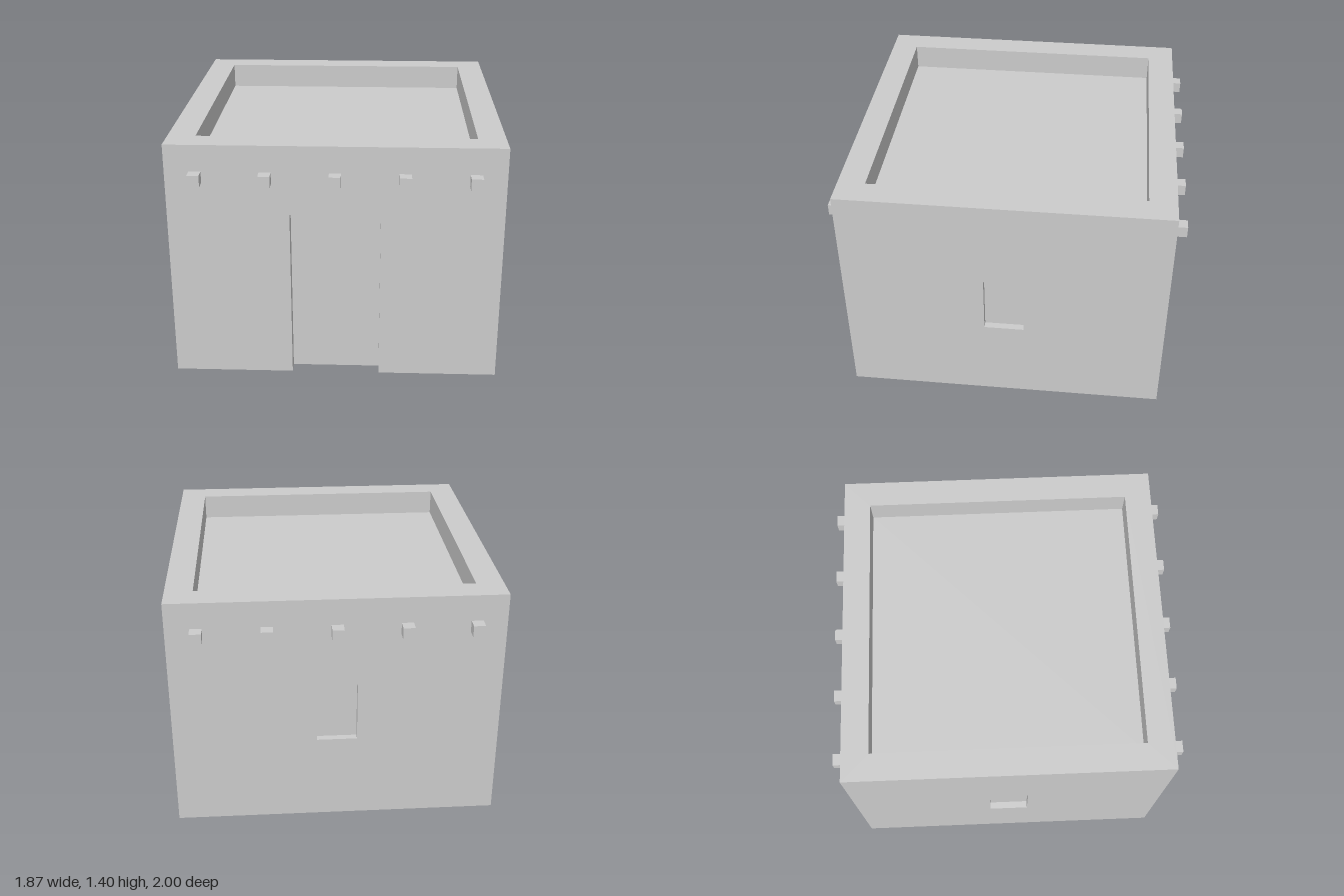
import * as THREE from 'three';

const H = 0.933;        // half width of the house
const TOP = 1.4;        // parapet top
const DECK = 1.25;      // sunken roof level
const INNER = 0.777;    // half width of the sunken roof

const material = new THREE.MeshStandardMaterial({
  color: 0xcccccc, flatShading: true, side: THREE.DoubleSide,
});

const doorOutline = [[0.252, 0], [0.252, 1], [-0.252, 1], [-0.252, 0]];
const windowOutline = [
  [-0.115, 0.515], [0.115, 0.515], [0.115, 0.865], [0.08, 0.923], [0.03, 0.955],
  [-0.03, 0.955], [-0.08, 0.923], [-0.115, 0.865],
];

const vectors = (pts) => pts.map(([x, y]) => new THREE.Vector2(x, y));

function add(parent, name, geometry) {
  const mesh = new THREE.Mesh(geometry, material);
  mesh.name = name;
  parent.add(mesh);
  return mesh;
}

// Strip of quads joining the outline at z = 0 to z = -depth
function revealGeometry(pts, depth, closed) {
  const pos = [];
  const count = closed ? pts.length : pts.length - 1;
  for (let i = 0; i < count; i++) {
    const [ax, ay] = pts[i];
    const [bx, by] = pts[(i + 1) % pts.length];
    pos.push(ax, ay, 0, bx, by, -depth, bx, by, 0);
    pos.push(ax, ay, 0, ax, ay, -depth, bx, by, -depth);
  }
  const g = new THREE.BufferGeometry();
  g.setAttribute('position', new THREE.Float32BufferAttribute(pos, 3));
  g.computeVertexNormals();
  return g;
}

// One thin wall with a recessed door or window, turned to its side of the house
function wall(name, opening, angle) {
  const group = new THREE.Group();
  group.name = name;
  const isDoor = opening === 'door';
  const outline = isDoor ? doorOutline : windowOutline;
  const depth = isDoor ? 0.075 : 0.04;

  const corners = [[H, 0], [H, TOP], [-H, TOP], [-H, 0]];
  const face = new THREE.Shape(vectors(
    isDoor ? [...corners, ...[...outline].reverse()] : corners));
  if (!isDoor) face.holes.push(new THREE.Path(vectors(outline)));
  add(group, name + 'Face', new THREE.ShapeGeometry(face)).position.z = H;

  add(group, opening + 'Reveal', revealGeometry(outline, depth, !isDoor)).position.z = H;
  const panel = new THREE.ShapeGeometry(new THREE.Shape(vectors(outline)));
  add(group, opening + 'Panel', panel).position.z = H - depth;
  group.rotation.y = angle;
  return group;
}

export function createModel() {
  const model = new THREE.Group();
  model.name = 'flatRoofedHouse';

  // Four walls
  model.add(wall('frontWall', 'door', 0));
  model.add(wall('leftWall', 'window', Math.PI / 2));
  model.add(wall('backWall', 'window', Math.PI));
  model.add(wall('rightWall', 'window', -Math.PI / 2));

  // Parapet rim around the sunken roof
  const square = (r) => vectors([[-r, -r], [r, -r], [r, r], [-r, r]]);
  const rim = new THREE.Shape(square(H));
  rim.holes.push(new THREE.Path(square(INNER)));
  add(model, 'parapetRim', new THREE.ShapeGeometry(rim).rotateX(-Math.PI / 2).translate(0, TOP, 0));

  // Inner parapet faces, looking inwards
  for (let i = 0; i < 4; i++) {
    const inner = new THREE.PlaneGeometry(INNER * 2, TOP - DECK)
      .translate(0, (TOP + DECK) / 2, -INNER).rotateY(i * Math.PI / 2);
    add(model, 'parapetInnerFace', inner);
  }

  // Roof deck
  add(model, 'roofDeck', new THREE.PlaneGeometry(INNER * 2, INNER * 2)
    .rotateX(-Math.PI / 2).translate(0, DECK, 0));

  // Roof beam ends on the front and back
  const beam = new THREE.BoxGeometry(0.066, 0.066, 1 - H);
  for (const side of [1, -1]) {
    for (let i = -2; i <= 2; i++) {
      add(model, 'beamEnd', beam).position.set(i * 0.382, 1.215, side * (1 + H) / 2);
    }
  }

  return model;
}
